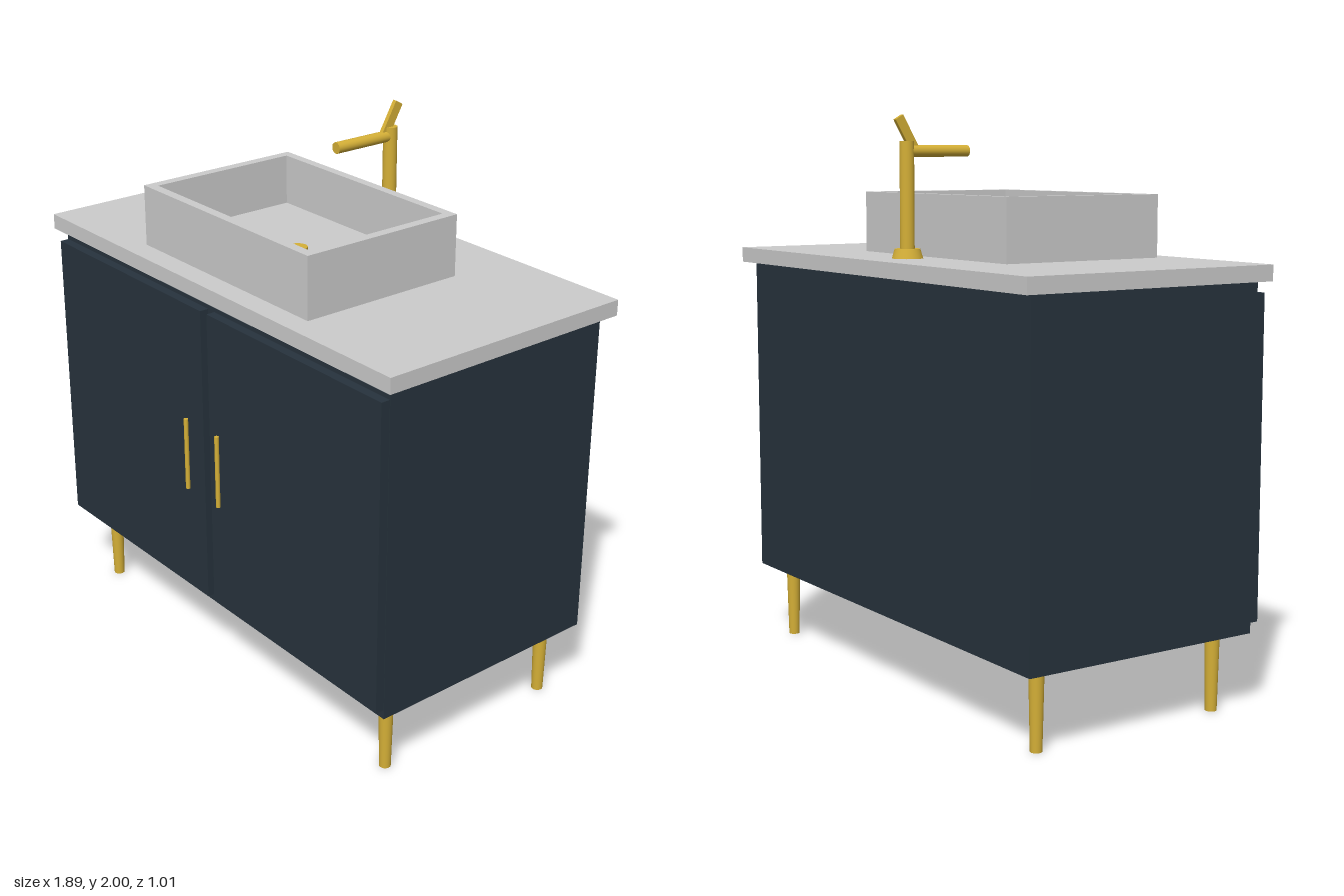
import * as THREE from 'three';

const grey = new THREE.MeshStandardMaterial({ color: 0xcccccc });
const navy = new THREE.MeshStandardMaterial({ color: 0x27333d });
const gold = new THREE.MeshStandardMaterial({ color: 0xd4af37 });

export function createModel() {
  const model = new THREE.Group();

  const add = (name, geometry, material, parent = model) => {
    const mesh = new THREE.Mesh(geometry, material);
    mesh.name = name;
    parent.add(mesh);
    return mesh;
  };

  // Box given by its lower and upper limits on each axis
  const box = (name, material, [x0, x1], [y0, y1], [z0, z1], parent) => {
    const mesh = add(name, new THREE.BoxGeometry(x1 - x0, y1 - y0, z1 - z0), material, parent);
    mesh.position.set((x0 + x1) / 2, (y0 + y1) / 2, (z0 + z1) / 2);
    return mesh;
  };

  // Upright cylinder or cone between two heights
  const post = (name, rTop, rBottom, x, [y0, y1], z, parent) => {
    const mesh = add(name, new THREE.CylinderGeometry(rTop, rBottom, y1 - y0, 32), gold, parent);
    mesh.position.set(x, (y0 + y1) / 2, z);
    return mesh;
  };

  // Cabinet and countertop
  box('cabinet', navy, [-0.907, 0.907], [0.275, 1.457], [-0.465, 0.442]);
  box('countertop', grey, [-0.943, 0.943], [1.457, 1.512], [-0.505, 0.475]);

  // Doors, handles and tapered legs, mirrored left and right
  for (const [side, s] of [['left', 1], ['right', -1]]) {
    box(side + 'Door', navy, s > 0 ? [0.018, 0.905] : [-0.905, -0.018], [0.31, 1.418], [0.442, 0.475]);
    post(side + 'Handle', 0.008, 0.008, s * 0.09, [0.73, 1.0], 0.498);
    post(side + 'FrontLeg', 0.026, 0.02, s * 0.817, [0, 0.275], 0.353);
    post(side + 'BackLeg', 0.026, 0.02, s * 0.817, [0, 0.275], -0.375);
  }

  // Basin: rectangular wall ring with a floor and a round drain
  const basin = new THREE.Group();
  basin.name = 'basin';
  model.add(basin);
  const rectangle = (path, x, z0, z1) =>
    path.moveTo(-x, -z1).lineTo(x, -z1).lineTo(x, -z0).lineTo(-x, -z0).closePath();
  const ring = rectangle(new THREE.Shape(), 0.453, -0.24, 0.392);
  ring.holes.push(rectangle(new THREE.Path(), 0.418, -0.207, 0.357));
  const wall = new THREE.ExtrudeGeometry(ring, { depth: 0.218, bevelEnabled: false });
  wall.rotateX(-Math.PI / 2);
  add('basinWall', wall, grey, basin).position.y = 1.512;
  box('basinFloor', grey, [-0.418, 0.418], [1.512, 1.55], [-0.207, 0.357], basin);
  post('drain', 0.034, 0.034, 0, [1.545, 1.56], 0.072, basin);

  // Faucet: flared foot, column, forward spout and tilted flat lever
  const faucet = new THREE.Group();
  faucet.name = 'faucet';
  model.add(faucet);
  post('faucetFoot', 0.044, 0.054, 0, [1.512, 1.545], -0.34, faucet);
  post('faucetColumn', 0.025, 0.025, 0, [1.545, 1.91], -0.34, faucet);
  const spout = post('spout', 0.02, 0.02, 0, [0, 0.245], 0, faucet);
  spout.rotation.x = Math.PI / 2;
  spout.position.set(0, 1.877, -0.2175);
  const lever = add('lever', new THREE.BoxGeometry(0.016, 0.14, 0.034), gold, faucet);
  lever.rotation.x = -0.52;
  lever.position.set(0, 1.93, -0.338);

  return model;
}
